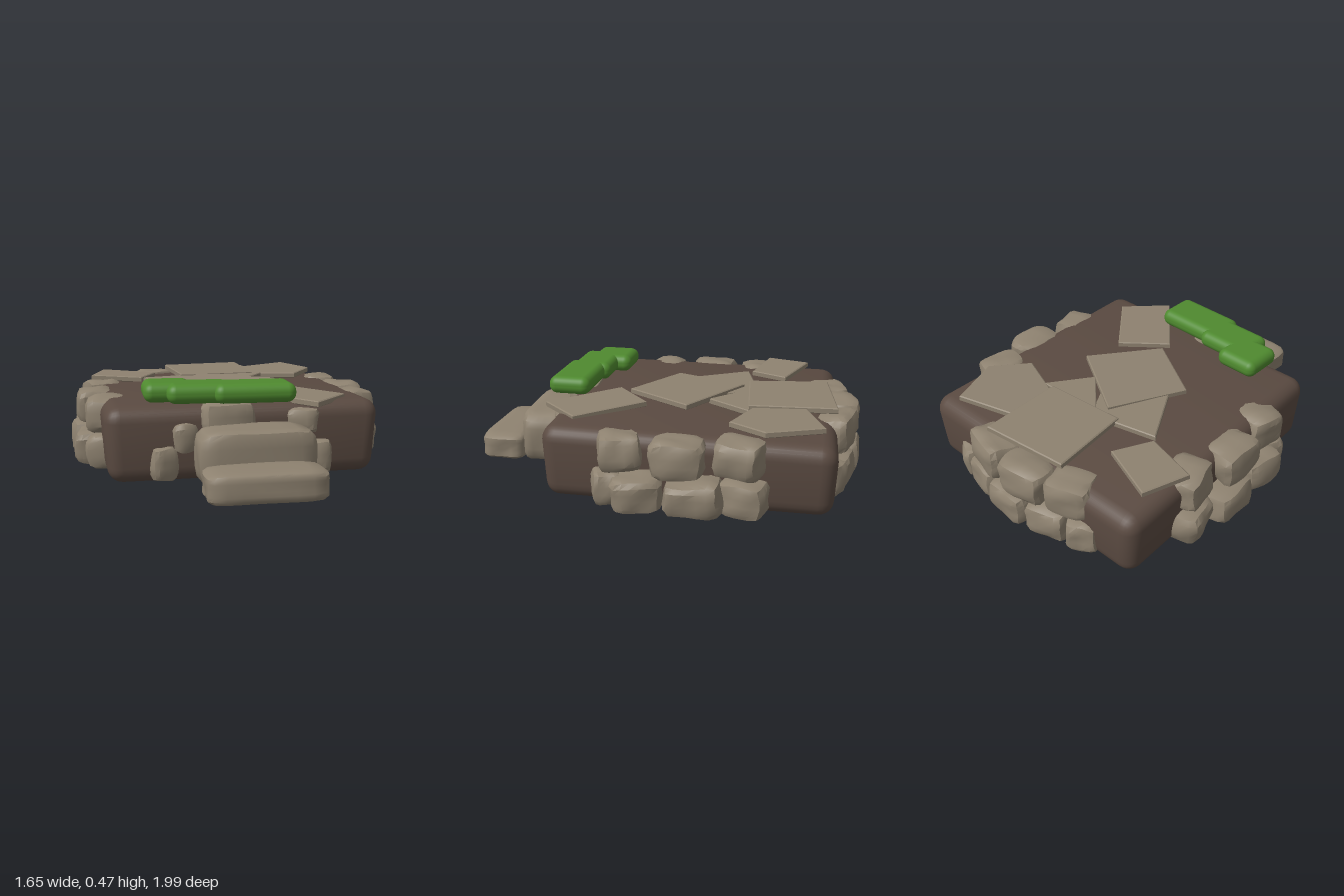
import * as THREE from 'three';
import { mergeVertices, toCreasedNormals } from 'three/addons/utils/BufferGeometryUtils.js';
import { RoundedBoxGeometry } from 'three/addons/geometries/RoundedBoxGeometry.js';

const mat = (name, color) => {
  const m = new THREE.MeshStandardMaterial({ color });
  m.name = name;
  return m;
};

// Smooth pseudo-noise, so that shared corners move together
const wobble = (x, y, z, s) =>
  Math.sin(x * 3.1 + s * 1.7) * Math.cos(y * 2.7 - s * 2.3) + 0.7 * Math.sin(z * 3.7 + y * 2.1 + s * 3.9);

// Rounded, slightly chipped block
function rockGeometry(w, h, d, seed, power, rough, n = 5, crease = 0.6) {
  const g = new THREE.BoxGeometry(2, 2, 2, n, n, n);
  g.deleteAttribute('uv');
  g.deleteAttribute('normal');
  const geo = mergeVertices(g, 1e-4);
  const p = geo.attributes.position;
  for (let i = 0; i < p.count; i++) {
    const x = p.getX(i), y = p.getY(i), z = p.getZ(i);
    const norm = Math.pow(Math.abs(x) ** power + Math.abs(y) ** power + Math.abs(z) ** power, 1 / power);
    const k = 1 / norm;
    const a = 1 + rough * wobble(x, y, z, seed);
    const b = 1 + rough * wobble(y, z, x, seed + 4);
    const c = 1 + rough * wobble(z, x, y, seed + 9);
    p.setXYZ(i, x * k * a * w / 2, y * k * b * h / 2, z * k * c * d / 2);
  }
  return toCreasedNormals(geo, crease);
}

// Flat paving slab from its corners [x, z], leaning slightly
function slabGeometry(corners, cx, cz) {
  const shape = new THREE.Shape(corners.map(([x, z]) => new THREE.Vector2(x - cx, cz - z)));
  const g = new THREE.ExtrudeGeometry(shape, {
    depth: 0.022, bevelEnabled: true, bevelSize: 0.006, bevelOffset: -0.006, bevelThickness: 0.004, bevelSegments: 1,
  });
  return g.rotateX(-Math.PI / 2);
}

export function createModel() {
  const model = new THREE.Group();
  model.name = 'stoneTerrace';
  const earth = mat('earth', 0x5a4a41);
  const stone = mat('stone', 0x8e8270);
  const moss = mat('moss', 0x4f8a2f);

  const add = (name, geo, material, x, y, z, ry = 0, rx = 0, rz = 0) => {
    const m = new THREE.Mesh(geo, material);
    m.name = name;
    m.position.set(x, y, z);
    m.rotation.set(rx, ry, rz, 'YXZ');
    model.add(m);
    return m;
  };

  // Earth block: softened, narrower at the front, lower at the back
  const block = mergeVertices((() => {
    const g = new RoundedBoxGeometry(1.36, 0.365, 1.39, 3, 0.075);
    g.deleteAttribute('uv');
    g.deleteAttribute('normal');
    return g;
  })(), 1e-4);
  const bp = block.attributes.position;
  for (let i = 0; i < bp.count; i++) {
    const x = bp.getX(i), y = bp.getY(i), z = bp.getZ(i);
    const back = Math.max(0, -z - 0.4);
    bp.setXYZ(i,
      x * (1 - 0.02 * z) * (y < -0.1 ? 0.98 : 1),
      y - (y > 0 ? back * 0.08 : 0),
      z * (y < -0.1 ? 0.99 : 1));
  }
  add('earthBlock', toCreasedNormals(block, 0.9), earth, -0.01, 0.198, -0.175);

  // Side walls: two courses of stones on a bulging line, [z, x of centre, turn, width]
  const upper = [[0.13, 0.645, 0.22, 0.21], [-0.15, 0.69, 0, 0.25], [-0.43, 0.645, -0.25, 0.23]];
  const lower = [[0.2, 0.64, 0.3, 0.14], [0.04, 0.695, 0.15, 0.23], [-0.23, 0.71, -0.03, 0.27], [-0.46, 0.665, -0.28, 0.22]];
  let seed = 1;
  for (const side of [1, -1]) {
    const name = side > 0 ? 'leftWallStone' : 'rightWallStone';
    for (const [z, x, turn, w] of upper) {
      add(name, rockGeometry(0.2, 0.18, w, seed++, 5, 0.06), stone, side * x, 0.29, z, side * turn, 0.05 * Math.sin(seed));
    }
    for (const [z, x, turn, w] of lower) {
      add(name, rockGeometry(0.22, 0.17, w, seed++, 5, 0.06), stone, side * x, 0.115, z, side * turn, 0.05 * Math.cos(seed));
    }
  }

  // Back wall: two courses, [x, z, turn, width]
  const backUpper = [[-0.3, -0.83, 0.35, 0.23], [-0.07, -0.89, 0.05, 0.26], [0.19, -0.865, -0.25, 0.26]];
  const backLower = [[-0.38, -0.825, 0.4, 0.16], [-0.2, -0.87, 0.22, 0.22], [0.02, -0.9, 0, 0.24], [0.23, -0.86, -0.25, 0.22], [0.38, -0.82, -0.4, 0.14]];
  for (const [x, z, turn, w] of backUpper) {
    add('backWallStone', rockGeometry(w, 0.18, 0.18, seed++, 5, 0.06), stone, x, 0.29, z, turn);
  }
  for (const [x, z, turn, w] of backLower) {
    add('backWallStone', rockGeometry(w, 0.17, 0.19, seed++, 5, 0.06), stone, x, 0.115, z, turn);
  }

  // Front wall stones beside and above the steps, [x, y, z, width, height]
  const front = [
    [-0.41, 0.11, 0.47, 0.13, 0.16], [0.34, 0.115, 0.48, 0.15, 0.17], [-0.31, 0.23, 0.46, 0.12, 0.15],
    [-0.1, 0.315, 0.49, 0.25, 0.16], [0.27, 0.29, 0.46, 0.16, 0.13],
  ];
  for (const [x, y, z, w, h] of front) {
    add('frontWallStone', rockGeometry(w, h, 0.17, seed++, 5, 0.06), stone, x, y, z, -0.4 * x);
  }

  // Two steps
  add('upperStep', rockGeometry(0.54, 0.275, 0.24, 3, 7, 0.02, 7, 0.8), stone, 0, 0.162, 0.645, 0.01);
  add('lowerStep', rockGeometry(0.54, 0.14, 0.235, 8, 7, 0.02, 7, 0.8), stone, -0.01, 0.095, 0.873, -0.01);

  // Paving slabs: corners, height, lean about x and z
  const slabs = [
    [[[-0.23, -0.82], [0.23, -0.87], [0.24, -0.43], [-0.19, -0.4]], 0.378, 0.01, 0],
    [[[-0.62, -0.71], [-0.32, -0.59], [-0.42, -0.4], [-0.7, -0.48]], 0.37, 0.02, -0.03],
    [[[0.23, -0.72], [0.52, -0.81], [0.62, -0.54], [0.48, -0.36], [0.24, -0.45]], 0.373, 0.02, 0.03],
    [[[-0.41, -0.38], [-0.06, -0.46], [0.08, -0.2], [-0.23, -0.06]], 0.366, 0, 0],
    [[[-0.06, -0.42], [0.3, -0.44], [0.14, -0.22]], 0.368, 0, 0],
    [[[-0.1, -0.38], [0.3, -0.13], [0.05, 0.21], [-0.29, 0]], 0.376, 0.02, 0.01],
    [[[0.26, 0.08], [0.52, 0.39], [0.32, 0.59], [0.04, 0.26]], 0.37, 0.02, -0.01],
  ];
  for (const [corners, y, rx, rz] of slabs) {
    const cx = corners.reduce((s, c) => s + c[0], 0) / corners.length;
    const cz = corners.reduce((s, c) => s + c[1], 0) / corners.length;
    add('pavingSlab', slabGeometry(corners, cx, cz), stone, cx, y + 0.004, cz, 0, rx, rz);
  }

  // Moss cushions overhanging the front edge, [x, z, width, depth]
  const cushions = [[-0.375, 0.395, 0.235, 0.23], [-0.235, 0.465, 0.31, 0.22], [0.02, 0.5, 0.39, 0.22]];
  for (const [x, z, w, d] of cushions) {
    add('mossCushion', new RoundedBoxGeometry(w, 0.092, d, 4, 0.042), moss, x, 0.442, z, -0.03);
  }
  return model;
}
